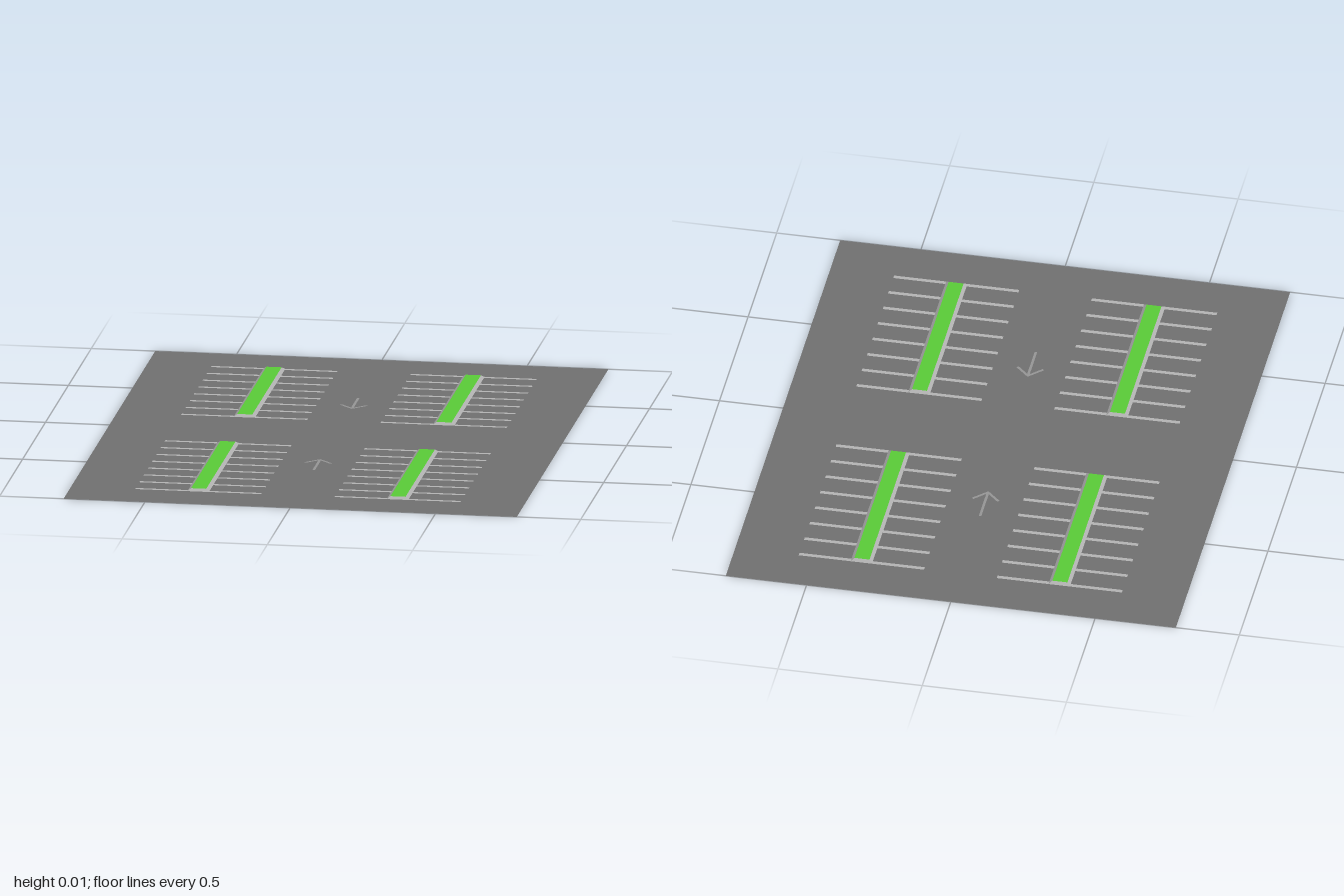
import * as THREE from 'three';

const X = 0.343, Z = 0.503;          // centre of each parking bay
const HALF_L = 0.331, HALF_W = 0.037; // kerb footprint
const REACH = 0.217, LINE = 0.0075;   // stall line reach and half thickness
const BEVEL = 0.011, HEIGHT = 0.008;

const mat = (color) => new THREE.MeshStandardMaterial({ color, side: THREE.DoubleSide });
const asphalt = mat(0x707070), paint = mat(0xb4b4b4), kerbGrey = mat(0xb0b0b0);
const grass = mat(0x5acb38), arrowPaint = mat(0x969696);

const lineZ = Array.from({ length: 8 }, (_, i) => (HALF_L - LINE) * (-1 + (2 * i) / 7));

function flat(name, geometry, material) {
  const mesh = new THREE.Mesh(geometry.rotateX(-Math.PI / 2), material);
  mesh.name = name;
  return mesh;
}

// Outline of an island together with its stall lines
function combOutline() {
  const right = lineZ.flatMap((z) => [
    [HALF_W, z - LINE], [REACH, z - LINE], [REACH, z + LINE], [HALF_W, z + LINE],
  ]);
  const left = right.map(([x, z]) => [-x, z]).reverse();
  return [...right, ...left];
}

// Arrow pointing up the page, tip at the origin
function arrowOutline() {
  const half = [[0, 0], [0.048, -0.048], [0.042, -0.055], [0.0045, -0.0175], [0.0045, -0.148]];
  return [...half, ...half.slice(1).reverse().map(([x, y]) => [-x, y])];
}

const toPoints = (list, dx, dy, sy = 1) =>
  list.map(([x, y]) => new THREE.Vector2(x + dx, y * sy + dy));

// Sloping kerb walls, open above and below
function kerbGeometry() {
  const corners = [[-1, 1], [1, 1], [1, -1], [-1, -1]];
  const at = ([sx, sz], y, inset) => [sx * (HALF_W - inset), y, sz * (HALF_L - inset)];
  const positions = [];
  corners.forEach((c, i) => {
    const d = corners[(i + 1) % 4];
    const a0 = at(c, 0, 0), b0 = at(d, 0, 0);
    const a1 = at(c, HEIGHT, BEVEL), b1 = at(d, HEIGHT, BEVEL);
    positions.push(...a0, ...b0, ...b1, ...a0, ...b1, ...a1);
  });
  const g = new THREE.BufferGeometry();
  g.setAttribute('position', new THREE.Float32BufferAttribute(positions, 3));
  g.computeVertexNormals();
  return g;
}

function createBay() {
  const bay = new THREE.Group();
  bay.name = 'parkingBay';
  const kerb = new THREE.Mesh(kerbGeometry(), kerbGrey);
  kerb.name = 'kerb';
  const lawn = flat('grassStrip',
    new THREE.PlaneGeometry(2 * (HALF_W - BEVEL), 2 * (HALF_L - BEVEL)), grass);
  lawn.position.y = HEIGHT;
  bay.add(kerb, lawn);
  // Stall lines on both sides of the island
  for (const side of [-1, 1]) {
    for (const z of lineZ) {
      const line = flat('stallLine', new THREE.PlaneGeometry(REACH - HALF_W, 2 * LINE), paint);
      line.position.set((side * (REACH + HALF_W)) / 2, 0, z);
      bay.add(line);
    }
  }
  return bay;
}

export function createModel() {
  const model = new THREE.Group();
  model.name = 'parkingLot';

  // Asphalt sheet, cut out where the markings and islands are inlaid
  const ground = new THREE.Shape(toPoints([[-0.78, -1], [0.78, -1], [0.78, 1], [-0.78, 1]], 0, 0));

  for (const sz of [-1, 1]) {
    for (const sx of [-1, 1]) {
      ground.holes.push(new THREE.Path(toPoints(combOutline(), sx * X, sz * Z)));
      const bay = createBay();
      bay.position.set(sx * X, 0, sz * Z);
      model.add(bay);
    }
    // Direction arrows point towards the middle of the lot
    const arrow = toPoints(arrowOutline(), 0, -sz * 0.341, sz);
    ground.holes.push(new THREE.Path(arrow));
    model.add(flat('directionArrow', new THREE.ShapeGeometry(new THREE.Shape(arrow)), arrowPaint));
  }

  model.add(flat('asphalt', new THREE.ShapeGeometry(ground), asphalt));
  return model;
}
